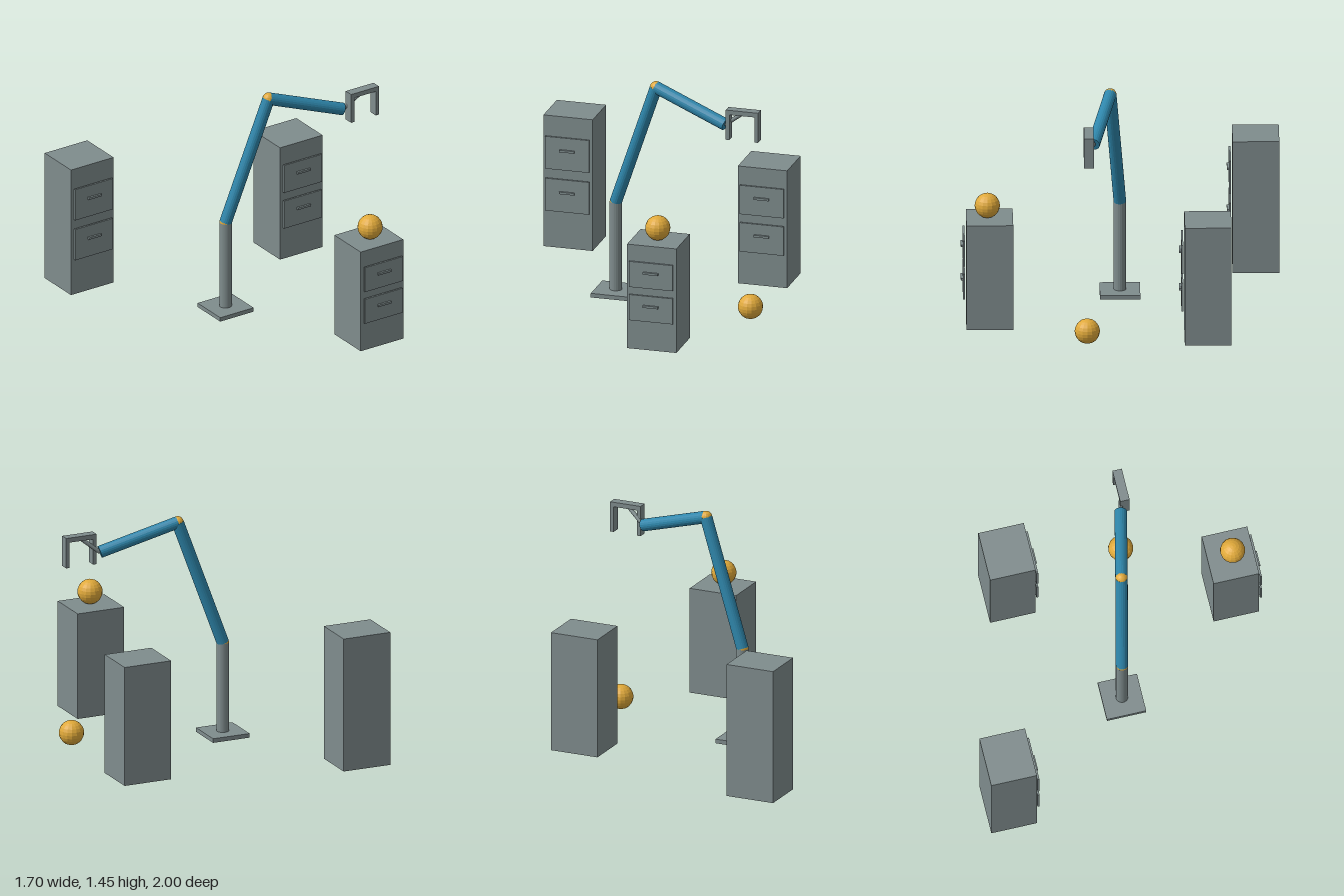
import * as THREE from 'three';

function material(name, color) {
  const m = new THREE.MeshStandardMaterial({ color, flatShading: true });
  m.name = name;
  return m;
}

export function createModel() {
  const steel = material('steel grey', 0x7f8c8d);
  const blue = material('arm blue', 0x2e86ab);
  const gold = material('golden yellow', 0xe0a93a);
  const root = new THREE.Group();
  root.name = 'robotArmAndCabinets';

  function add(parent, name, geometry, mat, x, y, z) {
    const mesh = new THREE.Mesh(geometry, mat);
    mesh.name = name;
    mesh.position.set(x, y, z);
    parent.add(mesh);
    return mesh;
  }
  const box = (parent, name, w, h, d, x, y, z) =>
    add(parent, name, new THREE.BoxGeometry(w, h, d), steel, x, y, z);
  const ball = (parent, name, r, x, y, z) =>
    add(parent, name, new THREE.SphereGeometry(r, 16, 12), gold, x, y, z);

  // Straight round bar between two points
  function rod(parent, name, a, b, r, mat) {
    const dir = b.clone().sub(a);
    const mid = a.clone().add(b).multiplyScalar(0.5);
    const mesh = add(parent, name, new THREE.CylinderGeometry(r, r, dir.length(), 20), mat, mid.x, mid.y, mid.z);
    mesh.quaternion.setFromUnitVectors(new THREE.Vector3(0, 1, 0), dir.normalize());
  }

  // Filing cabinets, each with two drawer fronts and handles
  function cabinet(name, x, z, h) {
    const g = new THREE.Group();
    g.name = name;
    g.position.set(x, 0, z);
    box(g, 'cabinetBody', 0.321, h, 0.292, 0, h / 2, 0);
    for (const f of [0.405, 0.724]) {
      box(g, 'drawerFront', 0.285, 0.246 * h, 0.012, 0, f * h, 0.161);
      box(g, 'drawerHandle', 0.098, 0.014, 0.013, 0, (f + 0.025) * h, 0.1735);
    }
    root.add(g);
  }
  cabinet('tallCabinet', -0.695, -0.854, 0.868);
  cabinet('mediumCabinet', 0.666, -0.538, 0.776);
  cabinet('shortCabinet', 0.352, 0.82, 0.688);

  // Loose balls: one on the short cabinet, one on the floor
  ball(root, 'cabinetBall', 0.079, 0.352, 0.767, 0.834);
  ball(root, 'floorBall', 0.079, 0.77, 0.08, 0.216);

  // Arm: base, column, two links and their joints
  const arm = new THREE.Group();
  arm.name = 'robotArm';
  root.add(arm);
  const foot = new THREE.Vector3(-0.171, 0.026, 0);
  const shoulder = new THREE.Vector3(-0.171, 0.606, 0);
  const elbow = new THREE.Vector3(0.11, 1.411, 0.064);
  const wrist = new THREE.Vector3(0.594, 1.251, 0.174);
  const hand = new THREE.Vector3(0.72, 1.352, 0.206);
  box(arm, 'basePlate', 0.252, 0.027, 0.252, -0.171, 0.0135, 0);
  rod(arm, 'column', foot, shoulder, 0.039, steel);
  rod(arm, 'upperArm', shoulder, elbow, 0.039, blue);
  rod(arm, 'forearm', elbow, wrist, 0.039, blue);
  ball(arm, 'shoulderJoint', 0.039, ...shoulder);
  ball(arm, 'elbowJoint', 0.039, ...elbow);

  // Gripper: wrist rod, bridge and two fingers
  rod(arm, 'wristRod', wrist, hand, 0.013, steel);
  box(arm, 'gripperBridge', 0.21, 0.03, 0.06, hand.x, 1.355, hand.z);
  for (const s of [-1, 1]) {
    box(arm, 'gripperFinger', 0.024, 0.167, 0.06, hand.x + s * 0.093, 1.2575, hand.z);
  }
  return root;
}
